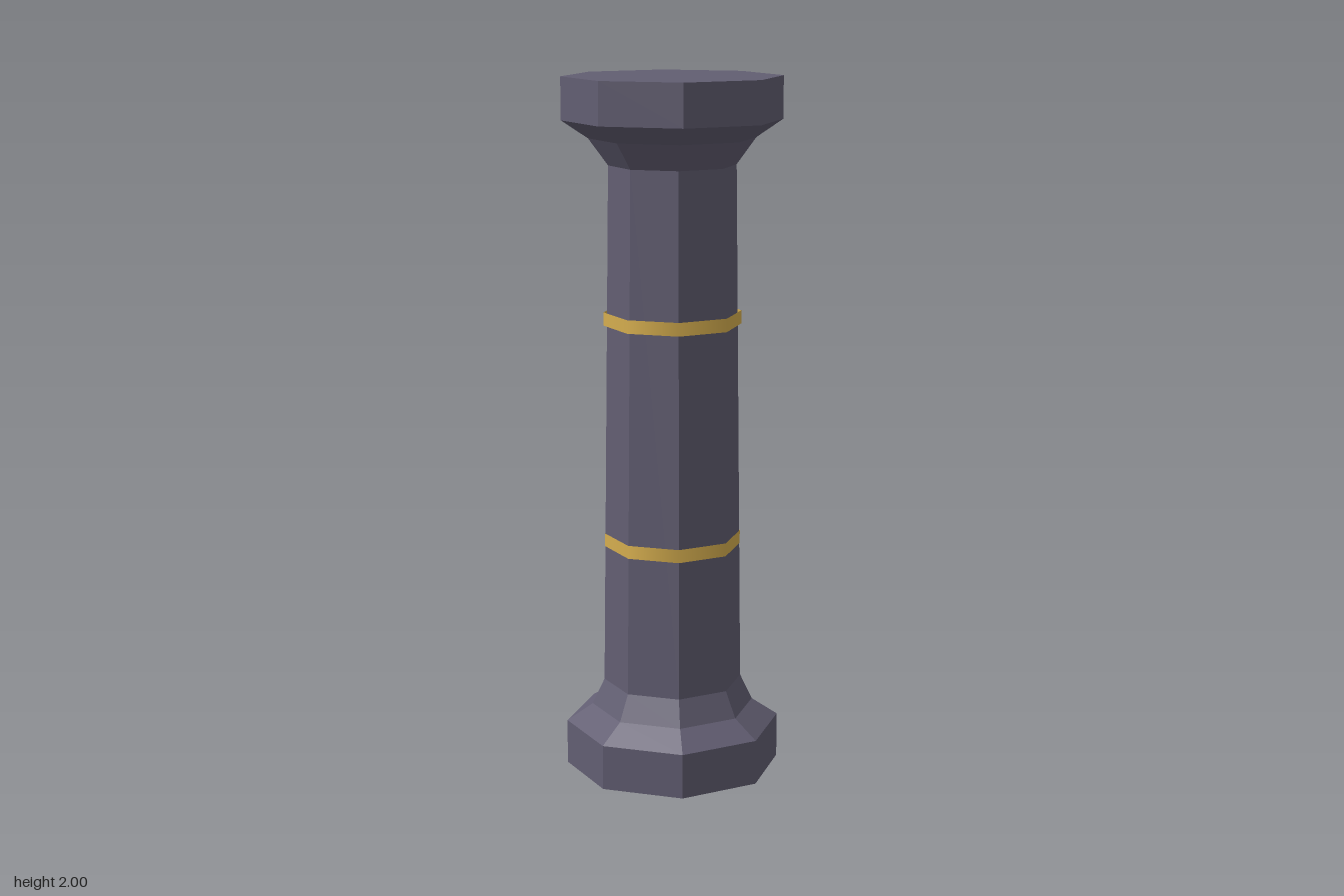
import * as THREE from 'three';

const SIDES = 8;

export function createModel() {
  const group = new THREE.Group();
  const stone = new THREE.MeshStandardMaterial({ color: 0x625e72, flatShading: true });
  stone.name = 'slate stone';
  const gold = new THREE.MeshStandardMaterial({ color: 0xd8b050, side: THREE.DoubleSide });
  gold.name = 'gold';

  // Octagonal solid turned from a [radius, height] profile, bottom to top
  function turned(name, profile) {
    const points = profile.map(([r, y]) => new THREE.Vector2(r, y));
    const mesh = new THREE.Mesh(new THREE.LatheGeometry(points, SIDES), stone);
    mesh.name = name;
    group.add(mesh);
  }

  // Plinth with its two-step flare
  turned('base', [[0, 0], [0.31, 0], [0.31, 0.13], [0.235, 0.18], [0.2, 0.255]]);
  // Slightly tapering shaft
  turned('shaft', [[0.2, 0.255], [0.18, 1.755]]);
  // Flared capital with flat top
  turned('capital', [[0.18, 1.755], [0.235, 1.83], [0.31, 1.88], [0.31, 2], [0, 2]]);

  // Thin gold bands wrapped around the shaft
  for (const [name, y] of [['lowerBand', 0.677], ['upperBand', 1.323]]) {
    const band = new THREE.Mesh(
      new THREE.CylinderGeometry(0.196, 0.196, 0.038, SIDES, 1, true), gold);
    band.name = name;
    band.position.y = y;
    group.add(band);
  }
  return group;
}
